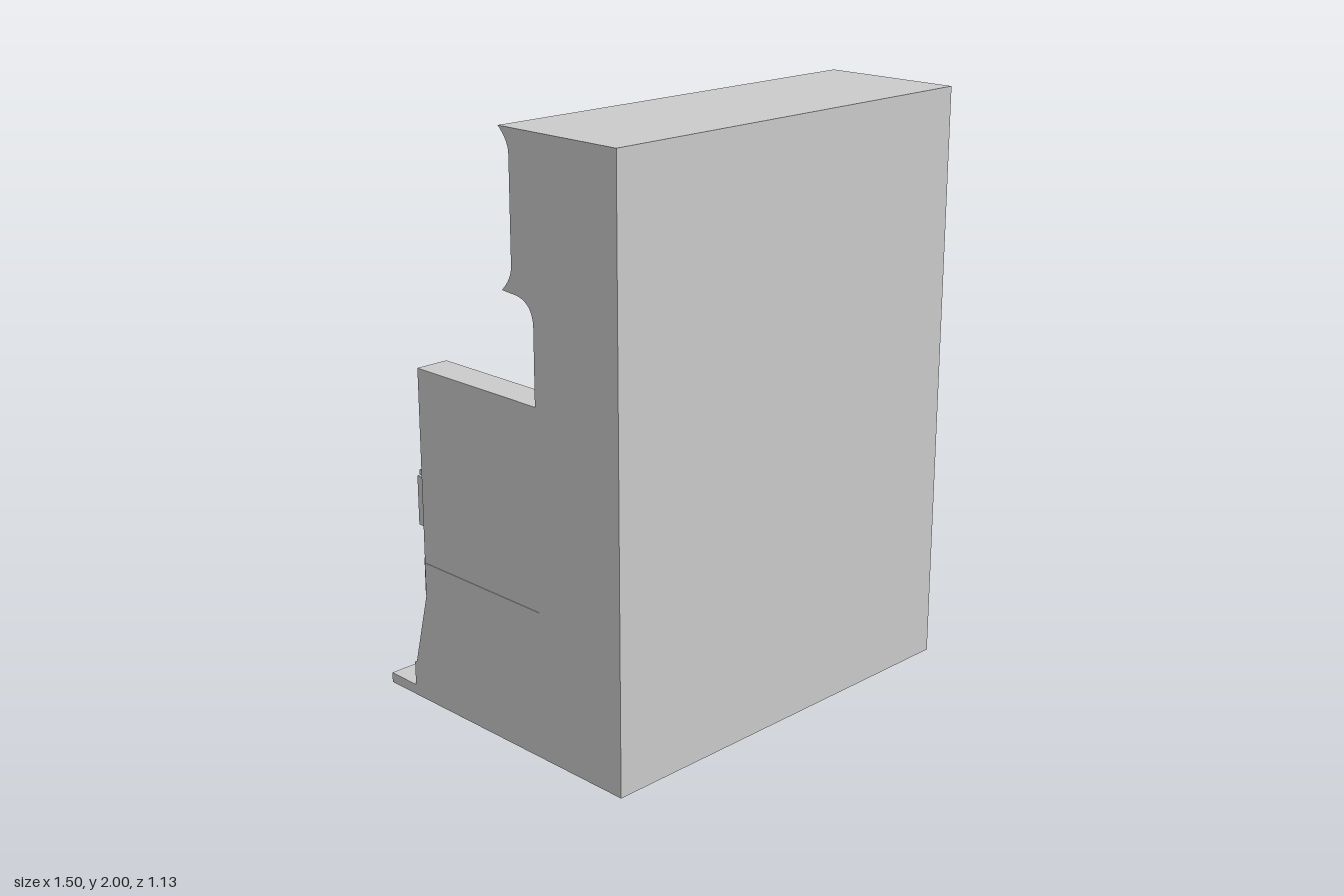
import * as THREE from 'three';
import { toCreasedNormals } from 'three/addons/utils/BufferGeometryUtils.js';

const material = new THREE.MeshStandardMaterial({ color: 0xcccccc });

export function createModel() {
  const group = new THREE.Group();

  const add = (name, geometry, x = 0, y = 0, z = 0) => {
    const mesh = new THREE.Mesh(geometry, material);
    mesh.name = name;
    mesh.position.set(x, y, z);
    group.add(mesh);
    return mesh;
  };
  const box = (name, x0, x1, y0, y1, z0, z1) =>
    add(name, new THREE.BoxGeometry(x1 - x0, y1 - y0, z1 - z0), (x0 + x1) / 2, (y0 + y1) / 2, (z0 + z1) / 2);
  const polygon = (points) => new THREE.Shape(points.map(([a, b]) => new THREE.Vector2(a, b)));

  // Profile drawn in (z, y), swept across from x0 to x1
  const sweepX = (name, shape, x0, x1) => {
    const geometry = new THREE.ExtrudeGeometry(shape, { depth: x1 - x0, bevelEnabled: false, curveSegments: 10 });
    geometry.rotateY(-Math.PI / 2);
    return add(name, toCreasedNormals(geometry, 0.6), x1);
  };
  // Profile drawn in (x, y), swept from z0 to z1
  const sweepZ = (name, points, z0, z1) =>
    add(name, new THREE.ExtrudeGeometry(polygon(points), { depth: z1 - z0, bevelEnabled: false }), 0, 0, z0);

  // Back block with the overhead cabinet and the bench base in one profile
  const body = new THREE.Shape();
  body.moveTo(0.565, 0);
  body.lineTo(0.565, 2);
  body.lineTo(0.065, 2);
  body.quadraticCurveTo(0.11, 1.96, 0.11, 1.92);
  body.lineTo(0.11, 1.58);
  body.quadraticCurveTo(0.105, 1.54, 0.065, 1.505);
  body.lineTo(0.13, 1.5);
  body.quadraticCurveTo(0.2, 1.49, 0.204, 1.42);
  [[0.204, 0.5], [-0.36, 0.5], [-0.36, 0.38], [-0.425, 0.125], [-0.435, 0.12], [-0.435, 0.035],
    [-0.565, 0.035], [-0.565, 0]].forEach(([z, y]) => body.lineTo(z, y));
  sweepX('body', body, -0.75, 0.75);

  // Fascia boards under the seat
  const gap = 0.003;
  for (const [a, b] of [[-0.745, -0.225], [-0.225, 0.225], [0.225, 0.745]])
    box('fasciaBoard', a + gap, b - gap, 0.385, 0.513, -0.372, -0.34);

  // Seat cushion with a rounded front edge
  const seat = new THREE.Shape();
  seat.moveTo(0.21, 0.49);
  seat.lineTo(0.21, 0.635);
  seat.lineTo(-0.26, 0.575);
  seat.quadraticCurveTo(-0.32, 0.565, -0.342, 0.525);
  seat.lineTo(-0.342, 0.49);
  sweepX('seat', seat, -0.5, 0.57);

  // Left arm: thin upper wall, small ledge, slope down to the seat
  sweepZ('leftArm', [[0.57, 0.5], [0.748, 0.5], [0.748, 1.168], [0.7, 1.168], [0.7, 0.85],
    [0.68, 0.85], [0.68, 0.63], [0.57, 0.53]], -0.362, 0.21);

  // Right arm: solid lower part, outer wall and a framed cubby
  sweepZ('rightArmBase', [[-0.748, 0.5], [-0.5, 0.5], [-0.5, 0.53], [-0.61, 0.63], [-0.61, 0.8],
    [-0.63, 0.85], [-0.748, 0.85]], -0.362, 0.21);
  box('rightArmWall', -0.748, -0.72, 0.85, 1.168, -0.362, 0.21);
  const frame = polygon([[-0.362, 0.85], [0.21, 0.85], [0.21, 1.168], [-0.362, 1.168]]);
  frame.holes.push(polygon([[-0.29, 0.92], [-0.29, 1.09], [0.06, 1.09], [0.06, 0.92]]));
  sweepX('cubbyFrame', frame, -0.72, -0.63);

  // Wall panels with rails between the rows
  for (const [y0, y1] of [[0.67, 0.85], [0.875, 1.085], [1.11, 1.34]]) {
    box('wallPanel', -0.6, -0.012, y0, y1, 0.197, 0.21);
    box('wallPanel', 0.012, 0.64, y0, y1, 0.197, 0.21);
  }
  for (const y of [0.862, 1.097]) box('wallRail', -0.6, 0.64, y - 0.006, y + 0.006, 0.19, 0.21);

  // Louvred grilles on the sloping front panel
  const tilt = Math.atan2(0.065, 0.255);
  for (const side of [-1, 1]) {
    const grille = new THREE.Group();
    grille.name = 'grille';
    grille.position.set(side * 0.4, 0.255, -0.392);
    grille.rotation.x = tilt;
    const bar = (name, w, h, d, x, y, z, turn = 0) => {
      const mesh = new THREE.Mesh(new THREE.BoxGeometry(w, h, d), material);
      mesh.name = name;
      mesh.position.set(x, y, z);
      mesh.rotation.x = turn;
      grille.add(mesh);
    };
    for (const s of [-1, 1]) {
      bar('grilleEnd', 0.012, 0.2, 0.022, s * 0.242, 0, -0.006);
      bar('grilleEdge', 0.49, 0.01, 0.022, 0, s * 0.097, -0.006);
    }
    for (let i = 0; i < 6; i++) bar('louvre', 0.475, 0.034, 0.006, 0, -0.078 + i * 0.031, -0.011, -0.75);
    group.add(grille);
  }

  // Small control unit on the front of the right arm
  box('controlUnit', -0.742, -0.635, 0.625, 0.795, -0.392, -0.355);
  box('controlTop', -0.73, -0.645, 0.795, 0.812, -0.395, -0.355);
  box('controlPlate', -0.73, -0.647, 0.64, 0.78, -0.397, -0.39);
  box('controlLever', -0.692, -0.684, 0.66, 0.765, -0.403, -0.395);
  box('controlLever', -0.715, -0.66, 0.715, 0.724, -0.403, -0.395);

  return group;
}
